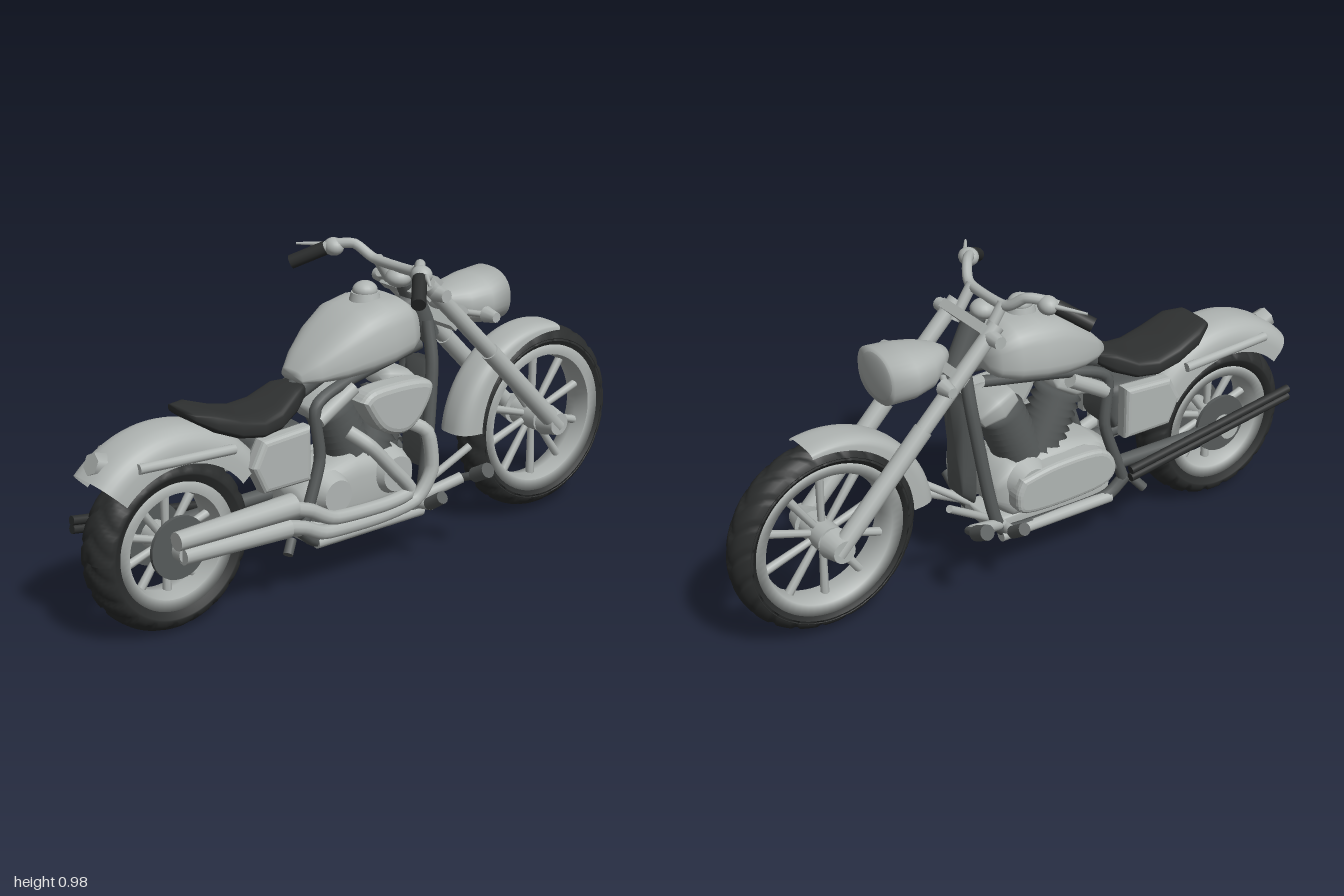
import * as THREE from 'three';

const mat = (name, color, side = THREE.FrontSide) => {
  const m = new THREE.MeshStandardMaterial({ color, side });
  m.name = name;
  return m;
};
const V = (p) => new THREE.Vector3(...p);

export function createModel() {
  const root = new THREE.Group();
  root.name = 'motorcycle';
  const silver = mat('silver', 0xb0b5b3);
  const silverSheet = mat('silverSheet', 0xb0b5b3, THREE.DoubleSide);
  const steel = mat('darkSteel', 0x565a5a);
  const rubber = mat('rubber', 0x2b2d2d);
  const leather = mat('leather', 0x2f3131);

  const add = (name, geo, m, parent = root) => {
    const mesh = new THREE.Mesh(geo, m);
    mesh.name = name;
    parent.add(mesh);
    return mesh;
  };
  // Straight round bar between two points
  const rod = (name, a, b, r, m, r2 = r, sides = 14) => {
    const A = V(a), B = V(b), d = B.clone().sub(A);
    const mesh = add(name, new THREE.CylinderGeometry(r2, r, d.length(), sides), m);
    mesh.position.copy(A).add(B).multiplyScalar(0.5);
    mesh.quaternion.setFromUnitVectors(new THREE.Vector3(0, 1, 0), d.normalize());
    return mesh;
  };
  const tube = (name, pts, r, m) => add(name, new THREE.TubeGeometry(
    new THREE.CatmullRomCurve3(pts.map(V), false, 'catmullrom', 0.35), 40, r, 10), m);
  const ball = (name, p, s, m) => {
    const mesh = add(name, new THREE.SphereGeometry(1, 20, 14), m);
    mesh.position.set(...p);
    mesh.scale.set(...s);
    return mesh;
  };
  // Call once for each side
  const both = (fn) => [1, -1].forEach(fn);

  // Body lofted along z from superellipse sections [z, bottom, top, halfWidth]
  // taper narrows the upper half and widens the lower half
  const loft = (name, secs, m, power = 0.8, taper = 0, n = 32) => {
    const cap = ([z, b, t]) => [z, (b + t) / 2, (b + t) / 2, 0];
    const rings = [cap(secs[0]), ...secs, cap(secs[secs.length - 1])];
    const pos = [], idx = [], bend = (v) => Math.sign(v) * Math.abs(v) ** power;
    rings.forEach(([z, b, t, w], i) => {
      for (let j = 0; j < n; j++) {
        const a = (j / n) * Math.PI * 2, up = bend(Math.sin(a));
        pos.push(w * bend(Math.cos(a)) * (1 - taper * up), (b + t) / 2 + ((t - b) / 2) * up, z);
        if (i === rings.length - 1) continue;
        const p = i * n + j, q = i * n + ((j + 1) % n);
        idx.push(p, q, p + n, q, q + n, p + n);
      }
    });
    const g = new THREE.BufferGeometry();
    g.setAttribute('position', new THREE.Float32BufferAttribute(pos, 3));
    g.setIndex(idx);
    g.computeVertexNormals();
    return add(name, g, m);
  };
  // Side panel drawn with [z, y] points, running from x0 towards +x
  const panel = (name, pts, x0, depth, bevel, m, curved = false) => {
    const p = pts.map(([z, y]) => new THREE.Vector2(-z, y));
    const outline = curved ? new THREE.SplineCurve([...p, p[0]]).getPoints(36).slice(0, -1) : p;
    const g = new THREE.ExtrudeGeometry(new THREE.Shape(outline), {
      depth, bevelThickness: bevel, bevelSize: bevel, bevelOffset: -bevel, bevelSegments: 3 });
    g.rotateY(Math.PI / 2).translate(x0, 0, 0);
    return add(name, g, m);
  };
  // Arched mudguard around a wheel centre; radius and side depth vary along the arc
  const fender = (name, cz, cy, [r0, r1], [a0, a1], w, [d0, d1]) => {
    const g = new THREE.PlaneGeometry(1, 1, 16, 28), p = g.attributes.position;
    for (let i = 0; i < p.count; i++) {
      const v = p.getX(i) * Math.PI, t = p.getY(i) + 0.5;
      const a = a0 + (a1 - a0) * t;
      const r = r0 + (r1 - r0) * t - (d0 + (d1 - d0) * t) * (1 - Math.max(0, Math.cos(v)) ** 0.6);
      p.setXYZ(i, w * Math.sign(v) * Math.abs(Math.sin(v)) ** 0.75, cy + r * Math.sin(a), cz + r * Math.cos(a));
    }
    g.computeVertexNormals();
    return add(name, g, silverSheet);
  };

  // Wheels with chevron tread, rim, hub and spokes
  const wheel = (name, y, z, R, rim, w, spokes) => {
    const wheelGroup = new THREE.Group();
    wheelGroup.name = name;
    wheelGroup.position.set(0, y, z);
    root.add(wheelGroup);
    const ring = (pts, seg) => new THREE.LatheGeometry(pts.map((q) => new THREE.Vector2(...q)), seg);
    const prof = [[rim, -w * 0.75], [rim + 0.03, -w], [R - 0.045, -w]];
    for (let i = -6; i <= 6; i++) prof.push([R - 0.032 * Math.abs(i / 6) ** 2.5, (w * 0.97 * i) / 6]);
    prof.push([R - 0.045, w], [rim + 0.03, w], [rim, w * 0.75], [rim, -w * 0.75]);
    const tyre = ring(prof, 160), p = tyre.attributes.position;
    for (let i = 0; i < p.count; i++) {
      const x = p.getX(i), h = p.getY(i), q = p.getZ(i), r = Math.hypot(x, q);
      const u = (Math.atan2(x, q) / (Math.PI * 2)) * 20 + (Math.abs(h) / w) * 0.8 + 20;
      if (r > R - 0.035 && u % 1 < 0.25) p.setXYZ(i, x * (1 - 0.006 / r), h, q * (1 - 0.006 / r));
    }
    tyre.computeVertexNormals();
    add('tyre', tyre.rotateZ(Math.PI / 2), rubber, wheelGroup);
    const k = w * 0.8;
    add('rim', ring([[rim - 0.025, -k], [rim + 0.008, -k - 0.006], [rim + 0.008, k + 0.006],
      [rim - 0.025, k], [rim - 0.035, 0], [rim - 0.025, -k]], 64).rotateZ(Math.PI / 2), silver, wheelGroup);
    add('hub', new THREE.CylinderGeometry(0.045, 0.045, w * 1.9, 20).rotateZ(Math.PI / 2), silver, wheelGroup);
    for (let i = 0; i < spokes; i++) {
      const s = add('spoke', new THREE.CylinderGeometry(0.014, 0.011, rim - 0.05, 8).translate(0, rim / 2, 0), silver, wheelGroup);
      s.rotation.x = (i / spokes) * Math.PI * 2;
    }
    return wheelGroup;
  };
  wheel('frontWheel', 0.322, -0.698, 0.302, 0.235, 0.06, 10);
  const rear = wheel('rearWheel', 0.265, 0.735, 0.265, 0.185, 0.073, 10);
  both((s) => {
    const disc = add('brakeDisc', new THREE.CylinderGeometry(0.095, 0.095, 0.012, 28).rotateZ(Math.PI / 2), steel, rear);
    disc.position.x = s * 0.066;
  });

  // Mudguards, struts and tail light
  fender('frontFender', -0.698, 0.322, [0.36, 0.315], [0.05, 1.75], 0.066, [0.085, 0.02]);
  fender('rearFender', 0.735, 0.265, [0.36, 0.355], [0.76, 2.5], 0.1, [0.1, 0.1]);
  both((s) => rod('fenderStrut', [s * 0.1, 0.53, 0.56], [s * 0.095, 0.545, 0.88], 0.015, silver));
  rod('tailLight', [0, 0.54, 0.935], [0, 0.555, 0.972], 0.038, silver, 0.034, 6);

  // Tank, filler cap and seat
  loft('fuelTank', [[-0.148, 0.705, 0.775, 0.06], [-0.13, 0.685, 0.815, 0.1], [-0.08, 0.67, 0.848, 0.135],
    [0, 0.655, 0.85, 0.147], [0.08, 0.645, 0.835, 0.143], [0.16, 0.64, 0.785, 0.12],
    [0.23, 0.64, 0.725, 0.085], [0.275, 0.645, 0.68, 0.05]], silver, 0.62, 0.1);
  rod('fillerCapBase', [0, 0.835, 0], [0, 0.865, 0], 0.05, silver, 0.042);
  ball('fillerCap', [0, 0.87, 0], [0.038, 0.028, 0.038], silver);
  loft('seat', [[0.265, 0.6, 0.645, 0.05], [0.31, 0.565, 0.642, 0.075], [0.38, 0.535, 0.605, 0.095],
    [0.45, 0.53, 0.595, 0.107], [0.53, 0.545, 0.615, 0.107], [0.61, 0.58, 0.645, 0.1], [0.665, 0.62, 0.648, 0.07]], leather, 0.55);
  both((s) => panel('sideCover', [[0.3, 0.375], [0.3, 0.545], [0.47, 0.535], [0.51, 0.46], [0.47, 0.375]],
    s > 0 ? 0.085 : -0.125, 0.025, 0.016, silver));
  loft('oilTank', [[0.3, 0.38, 0.54, 0.09], [0.46, 0.4, 0.53, 0.09]], steel, 0.4);

  // Frame
  rod('backbone', [0, 0.8, -0.18], [0, 0.6, 0.3], 0.035, steel);
  rod('steeringHead', [0, 0.87, -0.16], [0, 0.68, -0.25], 0.035, steel);
  both((s) => {
    tube('frameLoop', [[s * 0.03, 0.74, -0.22], [s * 0.06, 0.6, -0.215], [s * 0.085, 0.3, -0.17],
      [s * 0.095, 0.18, -0.13], [s * 0.095, 0.165, 0], [s * 0.095, 0.165, 0.25], [s * 0.1, 0.22, 0.33]], 0.02, steel);
    tube('seatTube', [[s * 0.05, 0.68, -0.17], [s * 0.08, 0.63, 0.15], [s * 0.09, 0.58, 0.26],
      [s * 0.095, 0.42, 0.25], [s * 0.1, 0.22, 0.32]], 0.018, steel);
    rod('swingArm', [s * 0.09, 0.27, 0.28], [s * 0.09, 0.265, 0.76], 0.022, steel);
    rod('axleCap', [s * 0.08, 0.265, 0.735], [s * 0.118, 0.265, 0.735], 0.035, silver);
    rod('coil', [s * 0.09, 0.54, 0.25], [s * 0.09, 0.615, 0.12], 0.024, silver);
    rod('lowerRail', [s * 0.1, 0.165, 0.27], [s * 0.1, 0.165, -0.14], 0.019, silver);
    rod('sideStep', [s * 0.1, 0.2, 0.36], [s * 0.12, 0.165, 0.39], 0.015, steel);
  });
  loft('radiator', [[-0.235, 0.3, 0.62, 0.045], [-0.2, 0.27, 0.62, 0.06]], steel, 0.3);
  loft('bellyPan', [[-0.15, 0.165, 0.21, 0.08], [0.28, 0.155, 0.22, 0.08]], silver, 0.3);

  // Engine: cases, covers and finned V cylinders
  loft('crankcase', [[-0.13, 0.24, 0.33, 0.07], [-0.08, 0.19, 0.38, 0.095], [0.1, 0.18, 0.4, 0.1],
    [0.24, 0.2, 0.37, 0.1], [0.3, 0.24, 0.33, 0.08]], silver, 0.6);
  both((s) => {
    rod('timingCover', [s * 0.08, 0.315, -0.03], [s * 0.122, 0.315, -0.03], 0.075, silver, 0.055, 24);
    rod('gearboxCover', [s * 0.08, 0.3, 0.2], [s * 0.122, 0.3, 0.2], 0.07, silver, 0.05, 24);
    const tip = 0.03 - s * 0.14;
    const fins = [];
    for (let i = 0; i <= 16; i++) fins.push(new THREE.Vector2(i % 2 ? 0.078 : 0.062, i * 0.0125));
    const cyl = add('finnedCylinder', new THREE.LatheGeometry([new THREE.Vector2(0, 0), ...fins, new THREE.Vector2(0, 0.2)], 24), steel);
    cyl.position.set(0, 0.36, 0.03 - s * 0.03);
    cyl.rotation.x = -s * 0.42;
    const head = loft('rockerCover', [[-0.065, -0.03, 0.025, 0.055], [0, -0.04, 0.045, 0.075], [0.065, -0.03, 0.025, 0.055]], silver, 0.5);
    head.position.set(0, 0.57, tip);
    head.rotation.x = -s * 0.42;
  });
  panel('airCleaner', [[0.11, 0.57], [0.06, 0.6], [-0.1, 0.6], [-0.165, 0.57], [-0.12, 0.48],
    [-0.05, 0.44], [0.04, 0.47]], 0.07, 0.042, 0.022, silver, true);
  panel('primaryCover', [[-0.08, 0.35], [-0.1, 0.29], [-0.06, 0.23], [0.2, 0.23], [0.27, 0.28],
    [0.22, 0.36], [0.05, 0.37]], -0.122, 0.04, 0.016, silver, true);

  // Exhaust on the left and slim dark pipes on the right
  tube('upperHeader', [[0.07, 0.47, 0.12], [0.12, 0.43, 0.08], [0.13, 0.34, 0], [0.13, 0.255, -0.07],
    [0.13, 0.235, 0.03], [0.125, 0.24, 0.22], [0.12, 0.285, 0.31], [0.12, 0.315, 0.4]], 0.022, silver);
  tube('lowerHeader', [[0.07, 0.46, -0.09], [0.115, 0.42, -0.15], [0.125, 0.3, -0.16], [0.12, 0.215, -0.1],
    [0.12, 0.195, 0.05], [0.12, 0.2, 0.25], [0.12, 0.235, 0.33], [0.12, 0.26, 0.42]], 0.022, silver);
  rod('upperMuffler', [0.12, 0.315, 0.37], [0.12, 0.312, 0.78], 0.038, silver, 0.028);
  rod('lowerMuffler', [0.12, 0.252, 0.39], [0.12, 0.262, 0.76], 0.032, silver, 0.026);
  [0, 0.026].forEach((h) => rod('slimPipe', [-0.127, 0.225 + h, 0.33], [-0.127, 0.32 + h, 0.965], 0.014, rubber));

  // Fork, clamps and headlight
  both((s) => {
    const x = s * 0.105;
    rod('forkTube', [x, 0.88, -0.155], [x, 0.56, -0.47], 0.025, silver);
    rod('forkSlider', [x, 0.62, -0.41], [x, 0.31, -0.71], 0.029, silver);
    rod('forkFoot', [s * 0.07, 0.322, -0.698], [s * 0.13, 0.322, -0.698], 0.05, silver, 0.036, 18);
    rod('signalStem', [s * 0.09, 0.757, -0.33], [s * 0.15, 0.757, -0.36], 0.01, silver);
    rod('turnSignal', [s * 0.14, 0.757, -0.36], [s * 0.187, 0.757, -0.36], 0.026, silver, 0.016, 10);
    rod('clampKnob', [s * 0.11, 0.852, -0.18], [s * 0.162, 0.852, -0.18], 0.026, silver, 0.02, 10);
    rod('riser', [s * 0.08, 0.83, -0.18], [s * 0.08, 0.93, -0.115], 0.017, silver);
  });
  [[0.86, -0.18], [0.75, -0.285]].forEach(([y, z]) => {
    const clamp = add('forkClamp', new THREE.BoxGeometry(0.21, 0.03, 0.075), silver);
    clamp.position.set(0, y, z);
    clamp.rotation.x = Math.PI / 4;
  });
  loft('headlightShell', [[-0.497, 0.692, 0.857, 0.102], [-0.42, 0.694, 0.847, 0.11], [-0.35, 0.706, 0.836, 0.092],
    [-0.3, 0.735, 0.822, 0.058], [-0.27, 0.765, 0.805, 0.03]], silver, 0.85);
  ball('headlightLens', [0, 0.774, -0.493], [0.09, 0.074, 0.012], silver);

  // Handlebar, grips and levers
  const half = [[0.09, 0.925, -0.115], [0.15, 0.965, -0.085], [0.195, 0.962, -0.045], [0.23, 0.943, -0.01]];
  tube('handlebar', [...half.map(([x, y, z]) => [-x, y, z]).reverse(), ...half], 0.016, silver);
  both((s) => {
    rod('grip', [s * 0.218, 0.948, -0.025], [s * 0.296, 0.9, 0.047], 0.022, rubber);
    ball('switchHousing', [s * 0.203, 0.952, -0.045], [0.034, 0.028, 0.03], silver);
    rod('lever', [s * 0.2, 0.958, -0.06], [s * 0.31, 0.95, 0.015], 0.009, silver, 0.004);
  });
  ball('gauge', [0, 0.885, -0.13], [0.04, 0.03, 0.04], silver);

  // Forward foot controls
  both((s) => {
    rod('controlBracket', [s * 0.09, 0.2, -0.13], [s * 0.14, 0.25, -0.27], 0.018, silver);
    rod('controlBar', [s * 0.06, 0.21, -0.15], [s * 0.11, 0.33, -0.33], 0.012, silver);
    rod('footPegArm', [s * 0.12, 0.24, -0.27], [s * 0.19, 0.27, -0.285], 0.013, steel);
    rod('footPeg', [s * 0.185, 0.268, -0.285], [s * 0.243, 0.3, -0.285], 0.024, steel);
    rod('pedalArm', [s * 0.09, 0.19, -0.12], [s * 0.16, 0.2, -0.13], 0.016, silver);
    rod('pedal', [s * 0.15, 0.2, -0.13], [s * 0.21, 0.24, -0.13], 0.02, steel);
  });

  return root;
}
